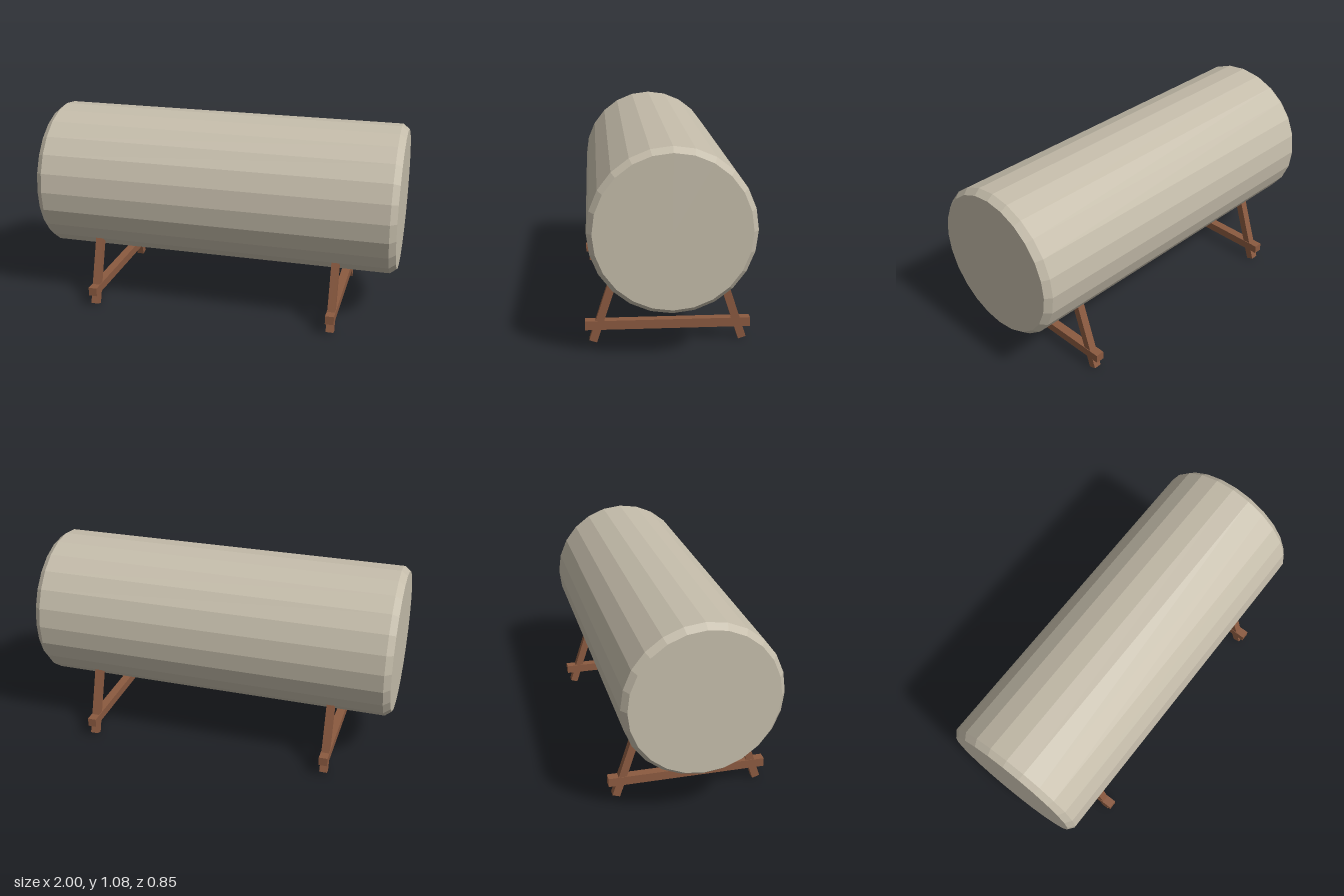
import * as THREE from 'three';

export function createModel() {
  const model = new THREE.Group();
  const metal = new THREE.MeshStandardMaterial({ name: 'tank beige', color: 0xc4bcaa, flatShading: true });
  const rust = new THREE.MeshStandardMaterial({ name: 'stand brown', color: 0x8b5a40, flatShading: true });

  // Horizontal tank: 24-sided drum with chamfered rims
  const profile = [[0, -1], [0.385, -1], [0.412, -0.965], [0.412, 0.965], [0.385, 1], [0, 1]]
    .map(([r, y]) => new THREE.Vector2(r, y));
  const tank = new THREE.Mesh(new THREE.LatheGeometry(profile, 24), metal);
  tank.name = 'tank';
  tank.rotation.z = Math.PI / 2;
  tank.position.y = 0.665;
  model.add(tank);

  // Two A-shaped stands, each with splayed legs and a crossbar
  const legLength = 0.42, lean = THREE.MathUtils.degToRad(18);
  const legGeometry = new THREE.BoxGeometry(0.042, legLength, 0.042).translate(0, legLength / 2, 0);
  const barGeometry = new THREE.BoxGeometry(0.048, 0.048, 0.854);
  for (const side of [-1, 1]) {
    const stand = new THREE.Group();
    stand.name = side > 0 ? 'leftStand' : 'rightStand';
    stand.position.x = side * 0.68;
    for (const end of [-1, 1]) {
      const leg = new THREE.Mesh(legGeometry, rust);
      leg.name = end > 0 ? 'frontLeg' : 'backLeg';
      leg.position.set(0, 0.0065, end * 0.387);
      leg.rotation.x = -end * lean;
      stand.add(leg);
    }
    const bar = new THREE.Mesh(barGeometry, rust);
    bar.name = 'crossbar';
    bar.position.y = 0.094;
    stand.add(bar);
    model.add(stand);
  }
  return model;
}
